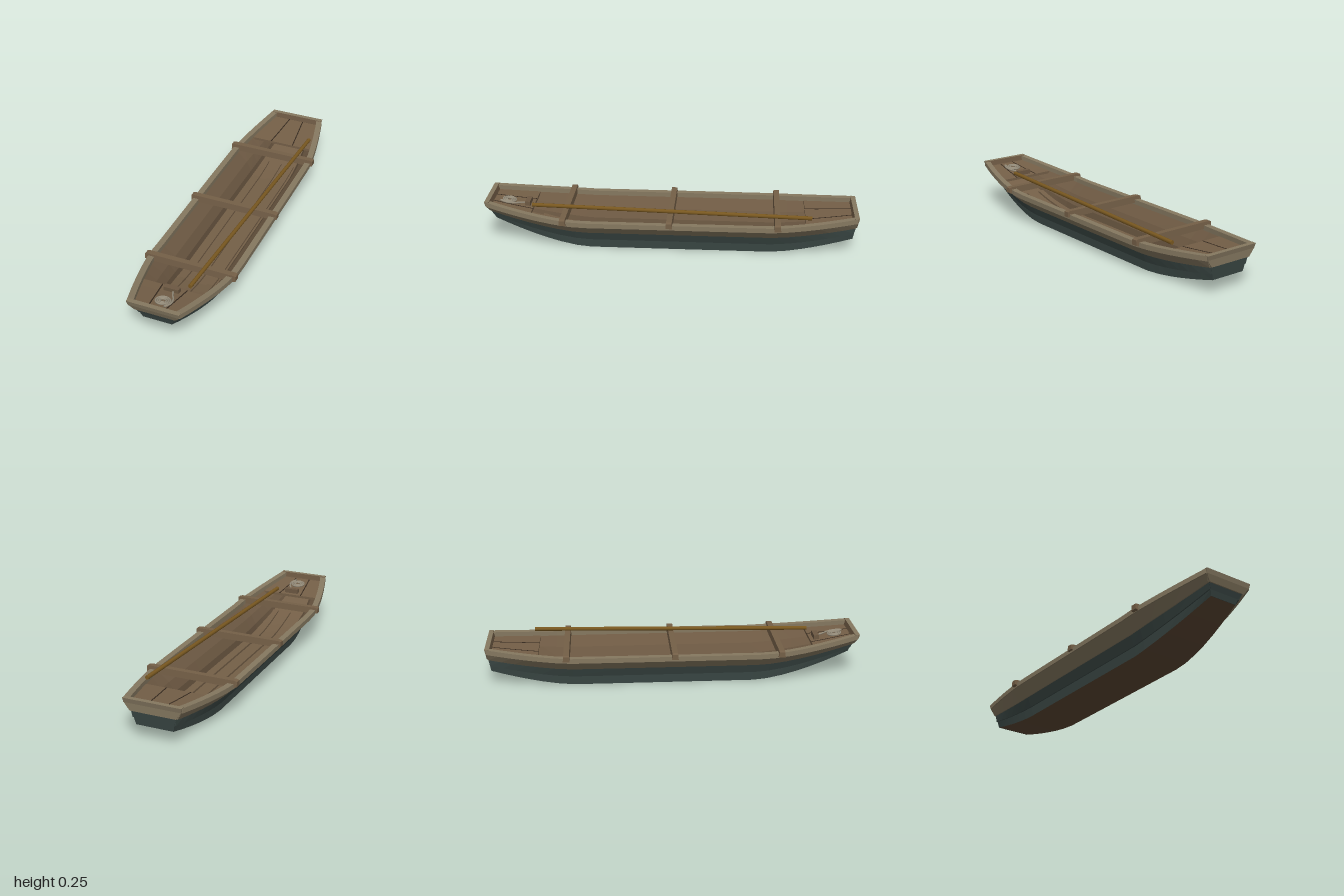
import * as THREE from 'three';

const mat = (name, color) => Object.assign(new THREE.MeshStandardMaterial({ color }), { name });

// Hull edges from the bottom up: [half width, height, z at the end]
const MID = [[0.134, 0], [0.14, 0.053], [0.17, 0.105], [0.234, 0.16]];
const BOW = [[0.078, 0.133, 0.95], [0.088, 0.162, 0.96], [0.105, 0.19, 0.972], [0.135, 0.222, 0.99]];
const STERN = [[0.1, 0.075, 0.972], [0.108, 0.113, 0.978], [0.12, 0.15, 0.984], [0.152, 0.19, 0.99]];

// Point on hull edge k at station s (-1 stern to 1 bow)
function edge(k, s) {
  const end = s > 0 ? BOW[k] : STERN[k];
  const ease = (start, p) => Math.pow(Math.max(0, (Math.abs(s) - start) / (1 - start)), p);
  const x = MID[k][0] + (end[0] - MID[k][0]) * ease(0.52, 1.45);
  const y = MID[k][1] + (end[1] - MID[k][1]) * ease(s > 0 ? 0.45 : 0.55, 1.5);
  return [x, y, s * end[2]];
}

// Solid skin through closed rings; side j of every ring gets material mats[j]
function loft(name, rings, mats) {
  const n = rings[0].length, pos = [], sides = [];
  const tri = (...p) => p.forEach((v) => pos.push(...v));
  for (let j = 0; j < n; j++) {
    const k = (j + 1) % n, start = pos.length / 3;
    for (let i = 0; i + 1 < rings.length; i++) {
      const a = rings[i], b = rings[i + 1];
      tri(a[j], a[k], b[k]);
      tri(a[j], b[k], b[j]);
    }
    sides.push([start, pos.length / 3 - start, j]);
  }
  const capStart = pos.length / 3, first = rings[0], last = rings[rings.length - 1];
  for (let j = 1; j + 1 < n; j++) {
    tri(first[0], first[j + 1], first[j]);
    tri(last[0], last[j], last[j + 1]);
  }
  sides.push([capStart, pos.length / 3 - capStart, 0]);
  // Turn the faces outward if the rings ran the other way round
  const A = new THREE.Vector3(), B = new THREE.Vector3(), C = new THREE.Vector3();
  let volume = 0;
  for (let i = 0; i < pos.length; i += 9) {
    volume += A.fromArray(pos, i).dot(B.fromArray(pos, i + 3).cross(C.fromArray(pos, i + 6)));
  }
  if (volume < 0) {
    for (let i = 0; i < pos.length; i += 9) {
      for (let c = 0; c < 3; c++) [pos[i + 3 + c], pos[i + 6 + c]] = [pos[i + 6 + c], pos[i + 3 + c]];
    }
  }
  const g = new THREE.BufferGeometry();
  g.setAttribute('position', new THREE.Float32BufferAttribute(pos, 3));
  g.computeVertexNormals();
  const multi = Array.isArray(mats);
  if (multi) sides.forEach((s) => g.addGroup(...s));
  const mesh = new THREE.Mesh(g, mats);
  mesh.name = name;
  return mesh;
}

export function createModel() {
  const boat = new THREE.Group();
  boat.name = 'puntBoat';
  const tan = mat('paleWood', 0x857860), teal = mat('darkPaint', 0x3b4845);
  const brown = mat('innerWood', 0x6c5842), plank = mat('deckWood', 0x745f47);
  const bottomWood = mat('bottomWood', 0x5c4733), dark = mat('seam', 0x35291e);
  const gold = mat('poleWood', 0x795820), hemp = mat('rope', 0x968d7b);

  const stations = [-1, -0.93, -0.86, -0.79, -0.72, -0.64, -0.55, -0.25, 0.1, 0.45, 0.53, 0.62, 0.7, 0.78, 0.86, 0.93, 1];
  const add = (name, rings, mats) => boat.add(loft(name, rings, mats));

  // Flat bottom that sweeps up at both ends
  add('bottom', stations.map((s) => {
    const [x, y, z] = edge(0, s);
    return [[-x, y, z], [x, y, z], [x, y + 0.02, z], [-x, y + 0.02, z]];
  }), [bottomWood, teal, plank, teal]);

  // Lapped side planks and the rail on top of them
  for (const side of [1, -1]) {
    const label = side > 0 ? 'left' : 'right';
    for (let k = 0; k < 3; k++) {
      const lap = k ? 0.008 : 0, outer = k < 2 ? teal : tan;
      add(label + 'Strake' + (k + 1), stations.map((s) => {
        const a = edge(k, s), b = edge(k + 1, s);
        return [
          [side * (a[0] + lap), a[1] - lap * 0.3, a[2]], [side * b[0], b[1], b[2]],
          [side * (b[0] - 0.02), b[1] + 0.004, b[2]], [side * (a[0] - 0.02), a[1] + 0.004, a[2]],
        ];
      }), [outer, brown, brown, outer]);
    }
    add(label + 'Rail', stations.map((s) => {
      const [x, y, z] = edge(3, s), o = x + 0.005, i = x - 0.028;
      return [[side * o, y - 0.002, z], [side * o, y + 0.024, z], [side * i, y + 0.024, z], [side * i, y - 0.002, z]];
    }), tan);
  }

  // Raked end boards: dark below, pale above
  for (const [name, s, end] of [['bow', 1, BOW], ['stern', -1, STERN]]) {
    const slab = (x, y, z, d) => [[-x, y, s * z], [x, y, s * z], [x, y, s * (z - d)], [-x, y, s * (z - d)]];
    add(name + 'LowerTransom', [0, 1, 2].map((k) => slab(end[k][0], end[k][1], end[k][2] + 0.002, 0.02)), [teal, teal, brown, teal]);
    add(name + 'UpperTransom', [
      slab(end[2][0] + 0.003, end[2][1], end[2][2] + 0.008, 0.025),
      slab(end[3][0], end[3][1], 0.994, 0.025),
      slab(end[3][0] + 0.005, end[3][1] + 0.025, 1, 0.025),
    ], [tan, tan, brown, tan]);
  }

  // End decks with plank seams
  for (const [name, from, to] of [['bow', 0.76, 0.98], ['stern', -0.73, -0.98]]) {
    const steps = [0, 0.25, 0.5, 0.75, 1];
    const deckAt = (t) => edge(3, from + (to - from) * t);
    add(name + 'Deck', steps.map((t) => {
      const [x, y, z] = deckAt(t), w = x - 0.018;
      return [[-w, y, z], [w, y, z], [w, y - 0.014, z], [-w, y - 0.014, z]];
    }), [plank, plank, brown, plank]);
    for (const side of [1, -1]) {
      add(name + 'DeckSeam', steps.map((t) => {
        const [, y, z] = deckAt(t), x = side * (0.067 - 0.025 * t);
        return [[x - 0.003, y - 0.002, z], [x + 0.003, y - 0.002, z], [x + 0.003, y + 0.001, z], [x - 0.003, y + 0.001, z]];
      }), dark);
    }
  }

  // Floor battens following the bottom
  for (const x of [-0.08, -0.002, 0.076]) {
    add('floorBatten', [-0.71, -0.64, -0.55, 0, 0.45, 0.53, 0.62, 0.7, 0.76].map((s) => {
      const [, y, z] = edge(0, s);
      return [[x - 0.016, y + 0.018, z], [x + 0.016, y + 0.018, z], [x + 0.016, y + 0.031, z], [x - 0.016, y + 0.031, z]];
    }), plank);
  }

  // Cross beams resting on the rails, with bevelled ends
  for (const z of [-0.57, 0, 0.565]) {
    add('crossBeam', [[-0.25, 0.004], [-0.235, 0], [0.235, 0], [0.25, 0.004]].map(([x, b]) => [
      [x, 0.167 + b, z - 0.018], [x, 0.203 - b, z - 0.015], [x, 0.203 - b, z + 0.015], [x, 0.167 + b, z + 0.018],
    ]), plank);
  }

  // Long pole lying across the beams
  const a = new THREE.Vector3(0.08, 0.215, 0.75), b = new THREE.Vector3(0.16, 0.215, -0.75);
  const pole = new THREE.Mesh(new THREE.CylinderGeometry(0.011, 0.011, a.distanceTo(b), 8), gold);
  pole.name = 'pole';
  pole.position.copy(a).lerp(b, 0.5);
  pole.quaternion.setFromUnitVectors(new THREE.Vector3(0, 1, 0), b.clone().sub(a).normalize());
  boat.add(pole);

  // Mooring block and coiled rope on the bow deck
  const block = new THREE.Mesh(new THREE.BoxGeometry(0.08, 0.026, 0.028), brown);
  block.name = 'mooringBlock';
  block.position.set(0, edge(3, 0.785)[1] + 0.011, 0.785);
  boat.add(block);

  const path = [];
  const lay = (x, z) => path.push(new THREE.Vector3(x, edge(3, z)[1] + 0.006, z));
  for (let i = 0; i <= 42; i++) {
    const t = i / 42, angle = t * Math.PI * 6 + 0.6, r = 0.01 + 0.03 * t;
    lay(r * Math.cos(angle), 0.892 + r * Math.sin(angle));
  }
  lay(0.03, 0.935);
  lay(0.047, 0.9);
  lay(0.042, 0.86);
  lay(0.025, 0.83);
  lay(0.012, 0.8);
  const rope = new THREE.Mesh(new THREE.TubeGeometry(new THREE.CatmullRomCurve3(path), 160, 0.0052, 6), hemp);
  rope.name = 'coiledRope';
  boat.add(rope);

  return boat;
}
